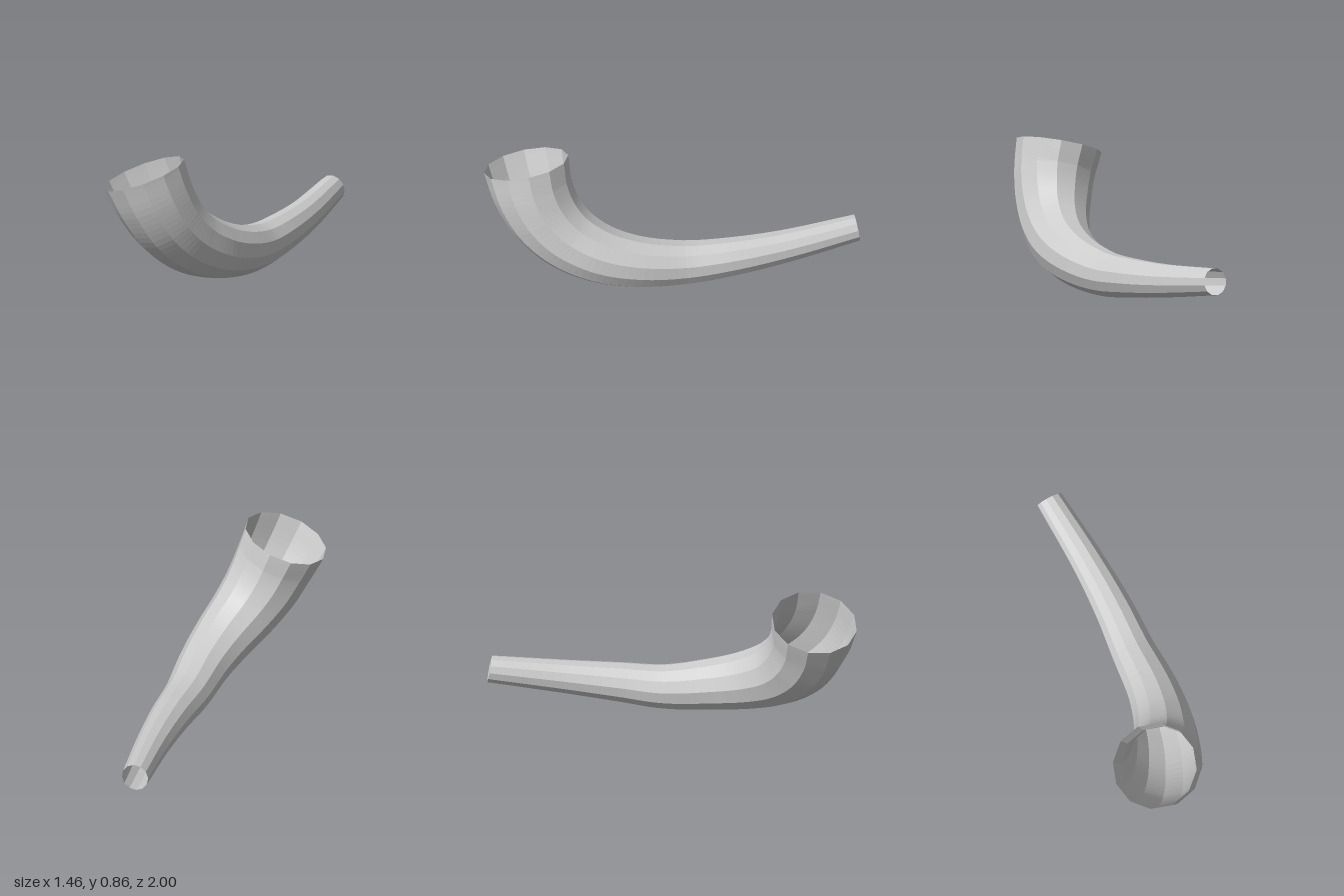
import * as THREE from 'three';

// Centreline and radius from the wide bell to the narrow mouth: x, y, z, r
const STATIONS = [
  [-0.485, 0.775, 0.73, 0.266],
  [-0.42, 0.62, 0.727, 0.25],
  [-0.335, 0.468, 0.69, 0.234],
  [-0.22, 0.34, 0.615, 0.212],
  [-0.075, 0.243, 0.485, 0.188],
  [0.065, 0.182, 0.3, 0.164],
  [0.21, 0.147, 0.03, 0.14],
  [0.345, 0.165, -0.22, 0.124],
  [0.485, 0.199, -0.53, 0.105],
  [0.65, 0.26, -0.965, 0.085],
];
const SIDES = 12;
const STEPS = 6; // rings per station

// Sweep a twelve-sided ring along the centreline without twisting it
function hornGeometry() {
  const curve = new THREE.CatmullRomCurve3(STATIONS.map(([x, y, z]) => new THREE.Vector3(x, y, z)));
  const spans = STATIONS.length - 1;
  const rings = spans * STEPS;
  const positions = [];
  const indices = [];
  const u = new THREE.Vector3(0, 0, 1);
  const v = new THREE.Vector3();

  for (let i = 0; i <= rings; i++) {
    const s = i / rings;
    const centre = curve.getPoint(s);
    const tangent = curve.getTangent(s);
    if (i === 0) tangent.set(0.347, -0.938, 0).normalize();
    if (i === rings) tangent.set(0.42, 0.15, -0.9).normalize();
    u.addScaledVector(tangent, -u.dot(tangent)).normalize();
    v.crossVectors(tangent, u);

    const k = Math.min(Math.floor(i / STEPS), spans - 1);
    const r = THREE.MathUtils.lerp(STATIONS[k][3], STATIONS[k + 1][3], i / STEPS - k);
    for (let j = 0; j < SIDES; j++) {
      const a = (j / SIDES) * Math.PI * 2;
      const p = centre.clone().addScaledVector(u, r * Math.cos(a)).addScaledVector(v, r * Math.sin(a));
      positions.push(p.x, p.y, p.z);
      if (i < rings) {
        const a0 = i * SIDES + j;
        const a1 = i * SIDES + ((j + 1) % SIDES);
        indices.push(a0, a1, a0 + SIDES, a1, a1 + SIDES, a0 + SIDES);
      }
    }
  }

  const geometry = new THREE.BufferGeometry();
  geometry.setAttribute('position', new THREE.Float32BufferAttribute(positions, 3));
  geometry.setIndex(indices);
  const faceted = geometry.toNonIndexed();
  faceted.computeVertexNormals();
  return faceted;
}

export function createModel() {
  const group = new THREE.Group();
  group.name = 'horn';

  // Open thin-walled shell, seen from inside and outside
  const grey = new THREE.MeshStandardMaterial({ color: 0xcccccc, flatShading: true, side: THREE.DoubleSide });
  grey.name = 'light grey';

  const shell = new THREE.Mesh(hornGeometry(), grey);
  shell.name = 'hornShell';
  group.add(shell);
  return group;
}
